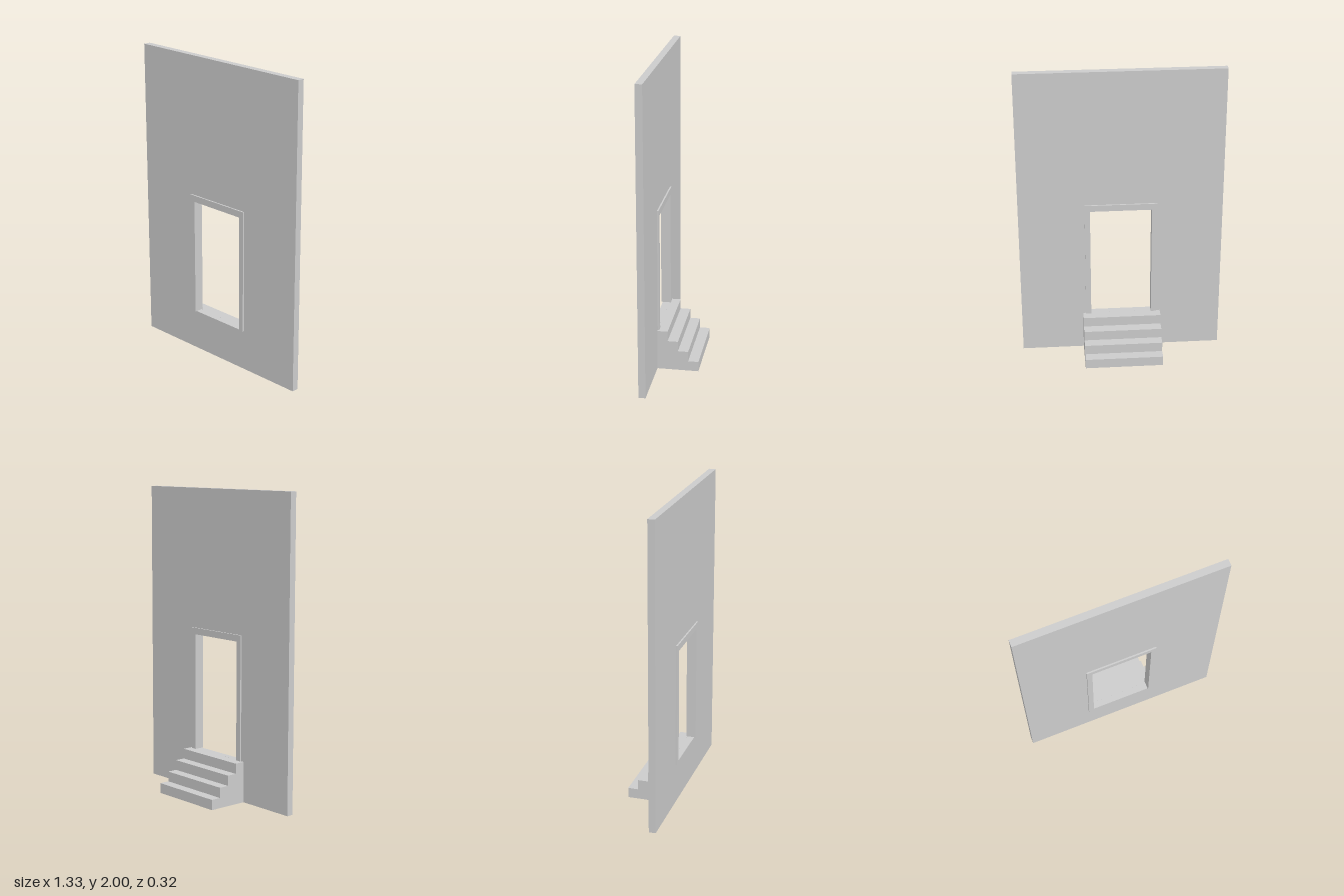
import * as THREE from 'three';

const material = new THREE.MeshStandardMaterial({ color: 0xcccccc, flatShading: true });
const FLOOR = 0.267; // doorway threshold height

// Extrude a 2D outline (with optional hole) along its own z
function extrude(name, points, depth, hole) {
  const toVectors = (list) => list.map(([x, y]) => new THREE.Vector2(x, y));
  const shape = new THREE.Shape(toVectors(points));
  if (hole) shape.holes.push(new THREE.Path(toVectors(hole)));
  const geometry = new THREE.ExtrudeGeometry(shape, { depth, bevelEnabled: false });
  const mesh = new THREE.Mesh(geometry, material);
  mesh.name = name;
  return mesh;
}

const rect = (x0, x1, y0, y1) => [[x0, y0], [x1, y0], [x1, y1], [x0, y1]];

export function createModel() {
  const model = new THREE.Group();
  model.name = 'wallWithDoorway';

  // Wall slab; its opening edge is hidden inside the door frame
  const wall = extrude('wall', rect(-0.666, 0.666, 0, 2), 0.045, rect(-0.22, 0.217, FLOOR, 1.063));
  wall.position.z = 0.107;
  model.add(wall);

  // Three-sided door frame, slightly proud of both wall faces
  const frame = extrude('doorFrame', [
    [-0.239, FLOOR], [-0.203, FLOOR], [-0.203, 1.042], [0.2, 1.042],
    [0.2, FLOOR], [0.235, FLOOR], [0.235, 1.085], [-0.239, 1.085],
  ], 0.065);
  frame.position.z = 0.097;
  model.add(frame);

  // Solid stairs behind the wall: a stepped profile extruded sideways
  const steps = 4, tread = 0.0672, rise = FLOOR / steps, back = 0.162;
  const profile = [[back - steps * tread, 0], [back, 0]];
  for (let i = 0; i < steps; i++) {
    profile.push([back - i * tread, (i + 1) * rise], [back - (i + 1) * tread, (i + 1) * rise]);
  }
  const stairs = extrude('stairs', profile, 0.518);
  stairs.rotation.y = Math.PI / 2; // profile x points to -z
  stairs.position.x = -0.264;
  model.add(stairs);

  return model;
}
